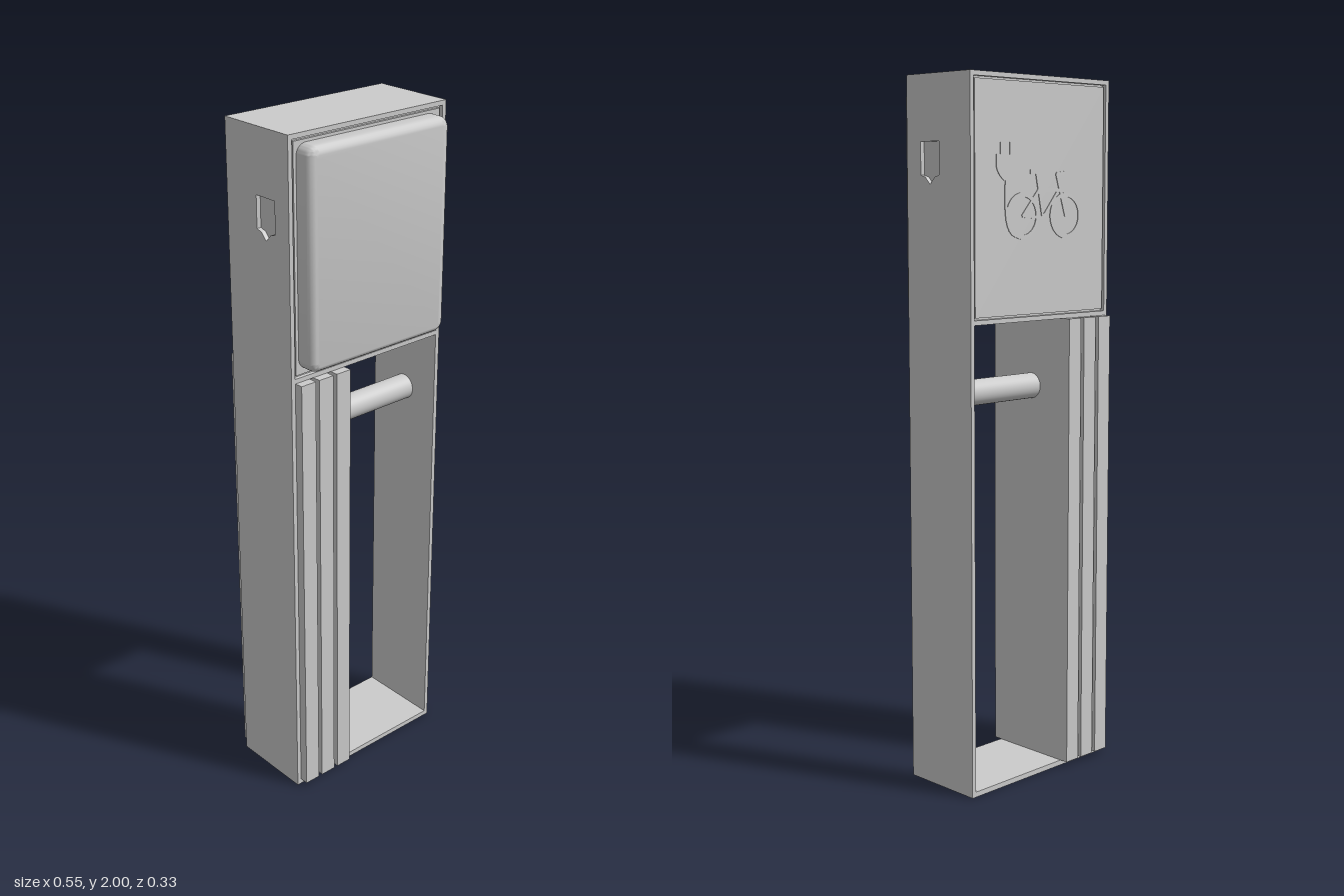
import * as THREE from 'three';
import { toCreasedNormals } from 'three/addons/utils/BufferGeometryUtils.js';

const material = new THREE.MeshStandardMaterial({ color: 0xcccccc });
const HALF = 0.274, WALL = 0.013, BACK = -0.14, FRONT = 0.112;

function add(parent, name, geometry) {
  const mesh = new THREE.Mesh(geometry, material);
  mesh.name = name;
  parent.add(mesh);
  return mesh;
}

// Box given by its limits on each axis
function box(parent, name, x0, x1, y0, y1, z0, z1) {
  const mesh = add(parent, name, new THREE.BoxGeometry(x1 - x0, y1 - y0, z1 - z0));
  mesh.position.set((x0 + x1) / 2, (y0 + y1) / 2, (z0 + z1) / 2);
  return mesh;
}

function roundedRect(x0, x1, y0, y1, r) {
  const s = new THREE.Shape();
  s.absarc(x1 - r, y0 + r, r, -Math.PI / 2, 0);
  s.absarc(x1 - r, y1 - r, r, 0, Math.PI / 2);
  s.absarc(x0 + r, y1 - r, r, Math.PI / 2, Math.PI);
  s.absarc(x0 + r, y0 + r, r, Math.PI, Math.PI * 1.5);
  s.closePath();
  return s;
}

// Side wall with a socket-shaped recess; shape x runs along z
function sideWallGeometry() {
  const s = new THREE.Shape();
  s.moveTo(BACK, 0).lineTo(FRONT, 0).lineTo(FRONT, 2).lineTo(BACK, 2).closePath();
  const hole = [[-0.018, 1.82], [-0.018, 1.73], [0, 1.725], [0.019, 1.705], [0.038, 1.725], [0.056, 1.73], [0.056, 1.82]];
  s.holes.push(new THREE.Path(hole.map(([z, y]) => new THREE.Vector2(z, y))));
  const g = new THREE.ExtrudeGeometry(s, { depth: WALL, bevelEnabled: false });
  return g.rotateY(-Math.PI / 2); // shape x -> +z, depth -> -x
}

// Thin relief of a bicycle with a charging plug, seen on the back
function chargingPictogram() {
  const g = new THREE.Group();
  g.name = 'chargingPictogram';
  const depth = 0.003;
  const relief = (name, shape) =>
    add(g, name, new THREE.ExtrudeGeometry(shape, { depth, bevelEnabled: false, curveSegments: 20 }));
  const bar = (name, x0, y0, x1, y1, w = 0.009) => {
    const m = add(g, name, new THREE.BoxGeometry(Math.hypot(x1 - x0, y1 - y0) + w * 0.5, w, depth));
    m.position.set((x0 + x1) / 2, (y0 + y1) / 2, depth / 2);
    m.rotation.z = Math.atan2(y1 - y0, x1 - x0);
  };
  for (const x of [-0.075, 0.097]) {
    const ring = new THREE.Shape().absarc(x, 1.62, 0.064, 0, Math.PI * 2);
    ring.holes.push(new THREE.Path().absarc(x, 1.62, 0.052, 0, Math.PI * 2));
    relief('pictogramWheel', ring);
  }
  const frame = [
    [-0.075, 1.62, 0.005, 1.615], [0.005, 1.615, -0.02, 1.735], [-0.075, 1.62, -0.012, 1.69],
    [-0.012, 1.69, 0.068, 1.69], [0.005, 1.615, 0.068, 1.69], [0.097, 1.62, 0.06, 1.735], [0.06, 1.735, 0.088, 1.738],
  ];
  frame.forEach(b => bar('pictogramFrame', ...b));
  bar('pictogramSaddle', -0.042, 1.74, 0.004, 1.74, 0.012);
  // Plug head, prongs and cable
  const plug = new THREE.Shape();
  plug.moveTo(-0.177, 1.785).lineTo(-0.177, 1.755).quadraticCurveTo(-0.172, 1.73, -0.146, 1.715)
    .lineTo(-0.13, 1.715).quadraticCurveTo(-0.105, 1.73, -0.1, 1.755).lineTo(-0.1, 1.785).closePath();
  relief('pictogramPlug', plug);
  for (const x of [-0.157, -0.12]) bar('pictogramProng', x, 1.785, x, 1.815, 0.01);
  const cable = new THREE.CubicBezierCurve(
    new THREE.Vector2(-0.138, 1.715), new THREE.Vector2(-0.145, 1.59),
    new THREE.Vector2(-0.13, 1.565), new THREE.Vector2(-0.075, 1.562)).getPoints(10);
  for (let i = 0; i < 10; i++) bar('pictogramCable', cable[i].x, cable[i].y, cable[i + 1].x, cable[i + 1].y, 0.01);
  return g;
}

export function createModel() {
  const model = new THREE.Group();
  model.name = 'chargingStation';

  // Outer frame
  for (const side of [1, -1]) {
    add(model, side > 0 ? 'leftWall' : 'rightWall', sideWallGeometry()).position.x = side > 0 ? HALF : -HALF + WALL;
  }
  const inner = HALF - WALL;
  box(model, 'topPlate', -inner, inner, 2 - WALL, 2, BACK, FRONT);
  box(model, 'basePlate', -inner, inner, 0, 0.015, BACK, FRONT);
  box(model, 'shelf', -inner, inner, 1.33, 1.343, BACK, FRONT);

  // Head: core, back panel and front backing plate with shadow gaps
  box(model, 'headCore', -inner, inner, 1.343, 2 - WALL, -0.125, 0.1);
  box(model, 'backPanel', -0.255, 0.255, 1.349, 1.981, -0.137, -0.12);
  box(model, 'frontBacking', -0.254, 0.254, 1.35, 1.98, 0.09, 0.108);

  // Soft-edged front cover
  const r = 0.024;
  const coverShape = roundedRect(-0.245 + r, 0.245 - r, 1.363 + r, 1.972 - r, 0.008);
  const cover = new THREE.ExtrudeGeometry(coverShape, {
    depth: 0.04, bevelThickness: r, bevelSize: r, bevelSegments: 6, curveSegments: 6,
  });
  add(model, 'frontCover', toCreasedNormals(cover, 0.6)).position.z = 0.162 - 0.04 - r;

  const pictogram = chargingPictogram();
  pictogram.rotation.y = Math.PI;
  pictogram.position.z = -0.136;
  model.add(pictogram);

  // Upright slats on the right
  for (const x of [-0.26, -0.198, -0.136]) box(model, 'slat', x, x + 0.049, 0.015, 1.33, -0.165, 0.137);

  // Locking bar across the opening
  const rail = add(model, 'lockingBar', new THREE.CylinderGeometry(0.037, 0.037, 0.352, 40));
  rail.rotation.z = Math.PI / 2;
  rail.position.set(0.087, 1.128, -0.014);

  return model;
}
